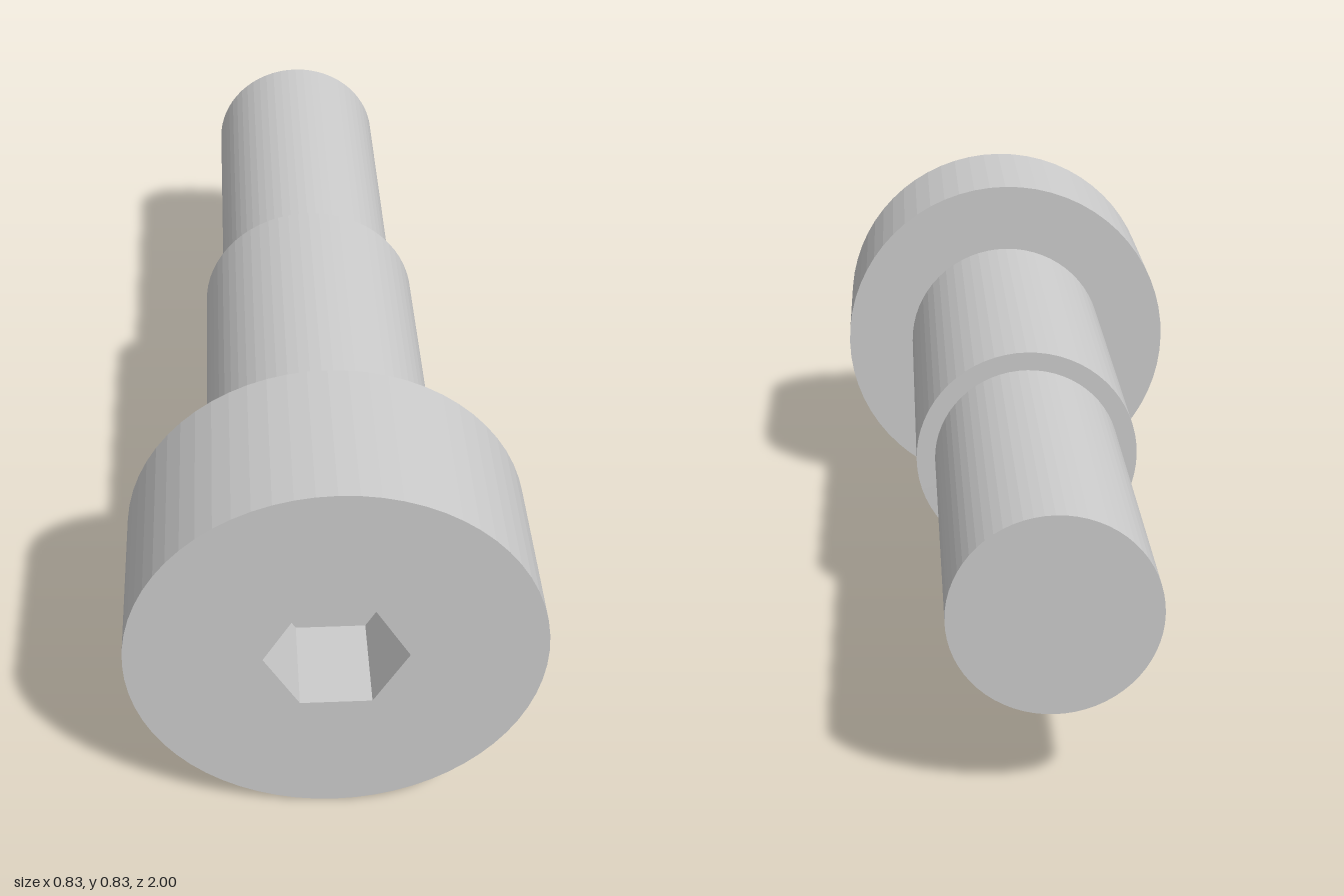
import * as THREE from 'three';

const SIDES = 64;
const U = 1 / 24; // base unit for all dimensions
const THREAD_R = 5 * U, SHOULDER_R = 6 * U, HEAD_R = 10 * U;
const SHOULDER_BACK = -5 * U, HEAD_BACK = 15 * U, FRONT = 1, BACK = -1;
const HEX_R = (3 * U) / Math.cos(Math.PI / 6), HEX_FLOOR = FRONT - 5 * U;

const material = new THREE.MeshStandardMaterial({ color: 0xcccccc, flatShading: true });

// Revolves [radius, z] pairs about the z axis
function turned(name, profile, sides = SIDES, start = 0) {
  const points = profile.map(([r, z]) => new THREE.Vector2(r, z));
  const geometry = new THREE.LatheGeometry(points, sides, start).rotateX(Math.PI / 2).toNonIndexed();
  geometry.computeVertexNormals();
  const mesh = new THREE.Mesh(geometry, material);
  mesh.name = name;
  return mesh;
}

// Corner points of a regular polygon
function polygon(radius, sides) {
  return Array.from({ length: sides }, (_, i) => {
    const a = (i / sides) * Math.PI * 2;
    return new THREE.Vector2(radius * Math.cos(a), radius * Math.sin(a));
  });
}

export function createModel() {
  const bolt = new THREE.Group();
  bolt.name = 'shoulderBolt';

  // Stepped shaft, back to front
  bolt.add(turned('threadedEnd', [[0, BACK], [THREAD_R, BACK], [THREAD_R, SHOULDER_BACK]]));
  bolt.add(turned('shoulder', [[THREAD_R, SHOULDER_BACK], [SHOULDER_R, SHOULDER_BACK], [SHOULDER_R, HEAD_BACK]]));

  // Head: underside and rim, then the front face with its hexagonal opening
  bolt.add(turned('head', [[SHOULDER_R, HEAD_BACK], [HEAD_R, HEAD_BACK], [HEAD_R, FRONT]]));
  const face = new THREE.Shape(polygon(HEAD_R, SIDES));
  face.holes.push(new THREE.Path(polygon(HEX_R, 6)));
  const headFace = new THREE.Mesh(new THREE.ShapeGeometry(face), material);
  headFace.name = 'headFace';
  headFace.position.z = FRONT;
  bolt.add(headFace);

  // Hex socket: inward-facing walls and flat floor
  bolt.add(turned('hexSocket', [[HEX_R, FRONT], [HEX_R, HEX_FLOOR], [0, HEX_FLOOR]], 6, Math.PI / 2));

  bolt.position.y = HEAD_R;
  const model = new THREE.Group();
  model.name = 'model';
  model.add(bolt);
  return model;
}
